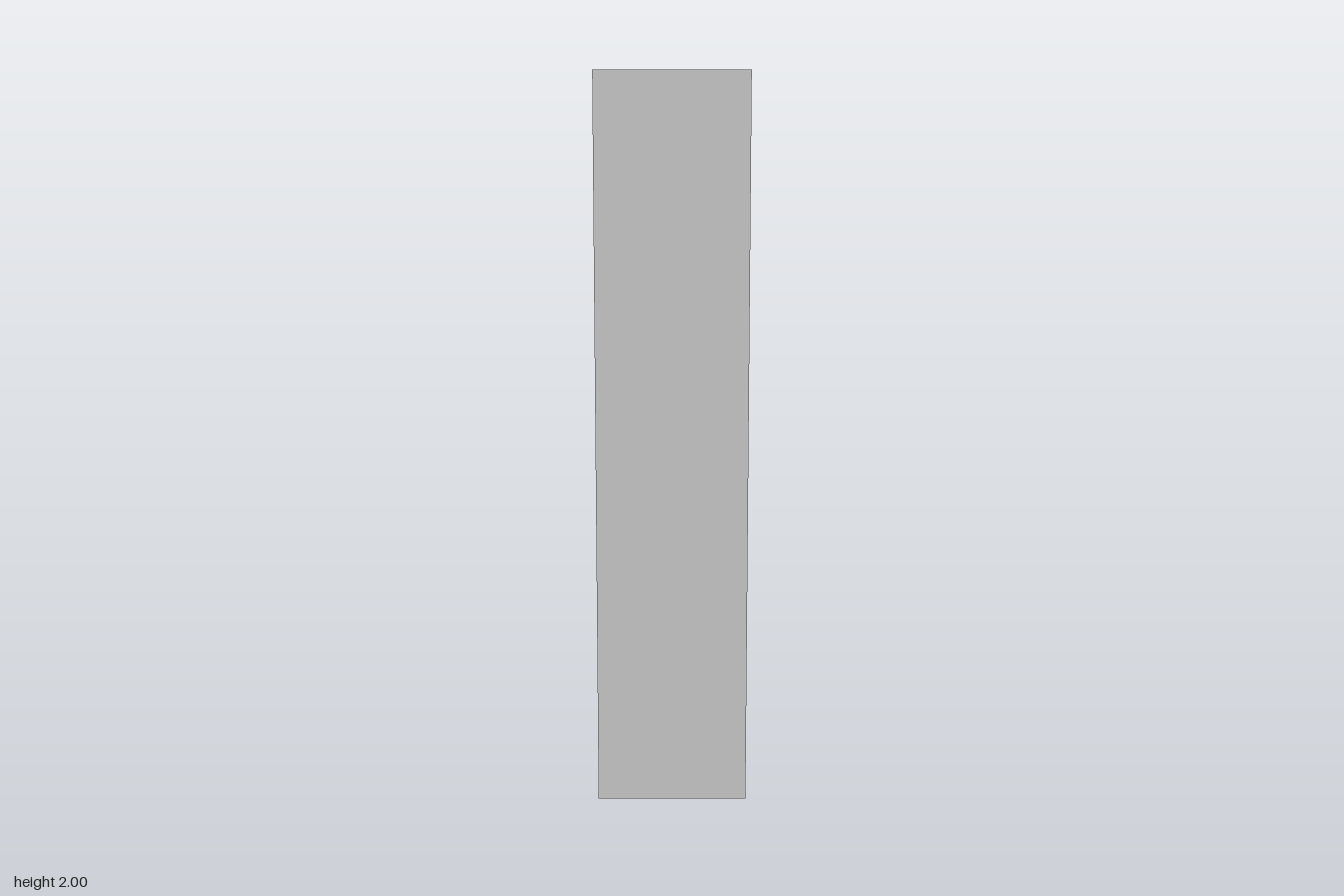
import * as THREE from 'three';

const material = new THREE.MeshStandardMaterial({ color: 0xcccccc });

function addBoard(parent, name, size, position) {
  const board = new THREE.Mesh(new THREE.BoxGeometry(...size), material);
  board.name = name;
  board.position.set(...position);
  parent.add(board);
}

export function createModel() {
  const model = new THREE.Group();
  model.name = 'bookcase';

  // Three full-height upright panels
  const thickness = 0.042;
  const uprights = [
    ['frontPanel', 0.514],
    ['middlePanel', 0.011],
    ['backPanel', -0.514],
  ];
  for (const [name, z] of uprights) {
    addBoard(model, name, [0.412, 2, thickness], [0, 1, z]);
  }

  // Bottom board, shelves and top board in each of the two open bays
  const levels = [0.016, 0.36, 0.62, 1.0, 1.35, 1.62, 1.984];
  for (let bay = 0; bay < 2; bay++) {
    const near = uprights[bay][1] - thickness / 2;
    const far = uprights[bay + 1][1] + thickness / 2;
    const shelves = new THREE.Group();
    shelves.name = bay === 0 ? 'frontBayShelves' : 'backBayShelves';
    levels.forEach((y, i) => {
      const name = i === 0 ? 'bottomBoard' : i === levels.length - 1 ? 'topBoard' : 'shelf';
      addBoard(shelves, name, [0.39, 0.021, near - far], [0, y, (near + far) / 2]);
    });
    model.add(shelves);
  }

  return model;
}
